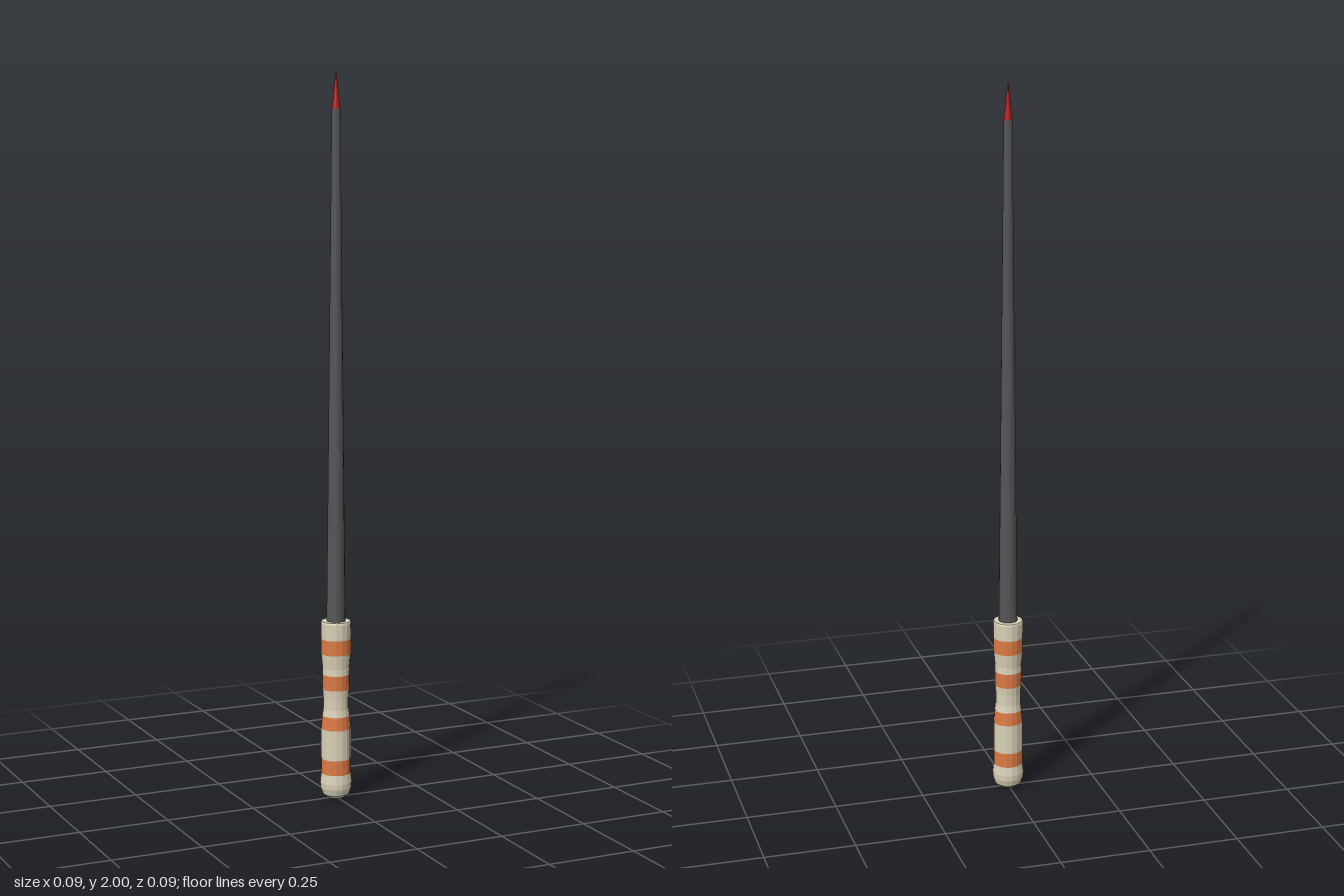
import * as THREE from 'three';

const SIDES = 16;

function mat(name, color) {
  const m = new THREE.MeshStandardMaterial({ color });
  m.name = name;
  m.flatShading = true;
  return m;
}

export function createModel() {
  const cream = mat('cream', 0xd9d1b8);
  const orange = mat('orange', 0xdc7a45);
  const steel = mat('dark grey', 0x555556);
  const red = mat('red', 0xb01c1c);

  const model = new THREE.Group();
  model.name = 'wand';

  const turned = (name, profile, material, parent) => {
    const points = profile.map(([r, y]) => new THREE.Vector2(r, y));
    const mesh = new THREE.Mesh(new THREE.LatheGeometry(points, SIDES), material);
    mesh.name = name;
    parent.add(mesh);
  };

  // Handle: alternating grip sections and bands, with a shallow waist
  const handle = new THREE.Group();
  handle.name = 'handle';
  model.add(handle);
  turned('pommel', [[0, 0], [0.024, 0.002], [0.037, 0.012], [0.043, 0.03], [0.044, 0.045], [0.041, 0.071]], cream, handle);
  turned('lowerGrip', [[0.041, 0.113], [0.041, 0.198]], cream, handle);
  turned('waistGrip', [[0.038, 0.235], [0.035, 0.255], [0.035, 0.285], [0.037, 0.31]], cream, handle);
  turned('upperGrip', [[0.038, 0.352], [0.037, 0.37], [0.041, 0.41]], cream, handle);
  turned('collar', [[0.041, 0.452], [0.042, 0.497], [0.04, 0.502], [0, 0.502]], cream, handle);

  const bands = [
    [0.071, 0.113, 0.041, 0.041],
    [0.198, 0.235, 0.041, 0.038],
    [0.31, 0.352, 0.037, 0.038],
    [0.41, 0.452, 0.041, 0.041],
  ];
  for (const [y0, y1, r0, r1] of bands) turned('band', [[r0, y0], [r1, y1]], orange, handle);

  // Long tapered shaft and its pointed tip
  turned('shaft', [[0.026, 0.5], [0.0115, 1.897]], steel, model);
  turned('tip', [[0.0115, 1.897], [0, 2]], red, model);

  return model;
}
